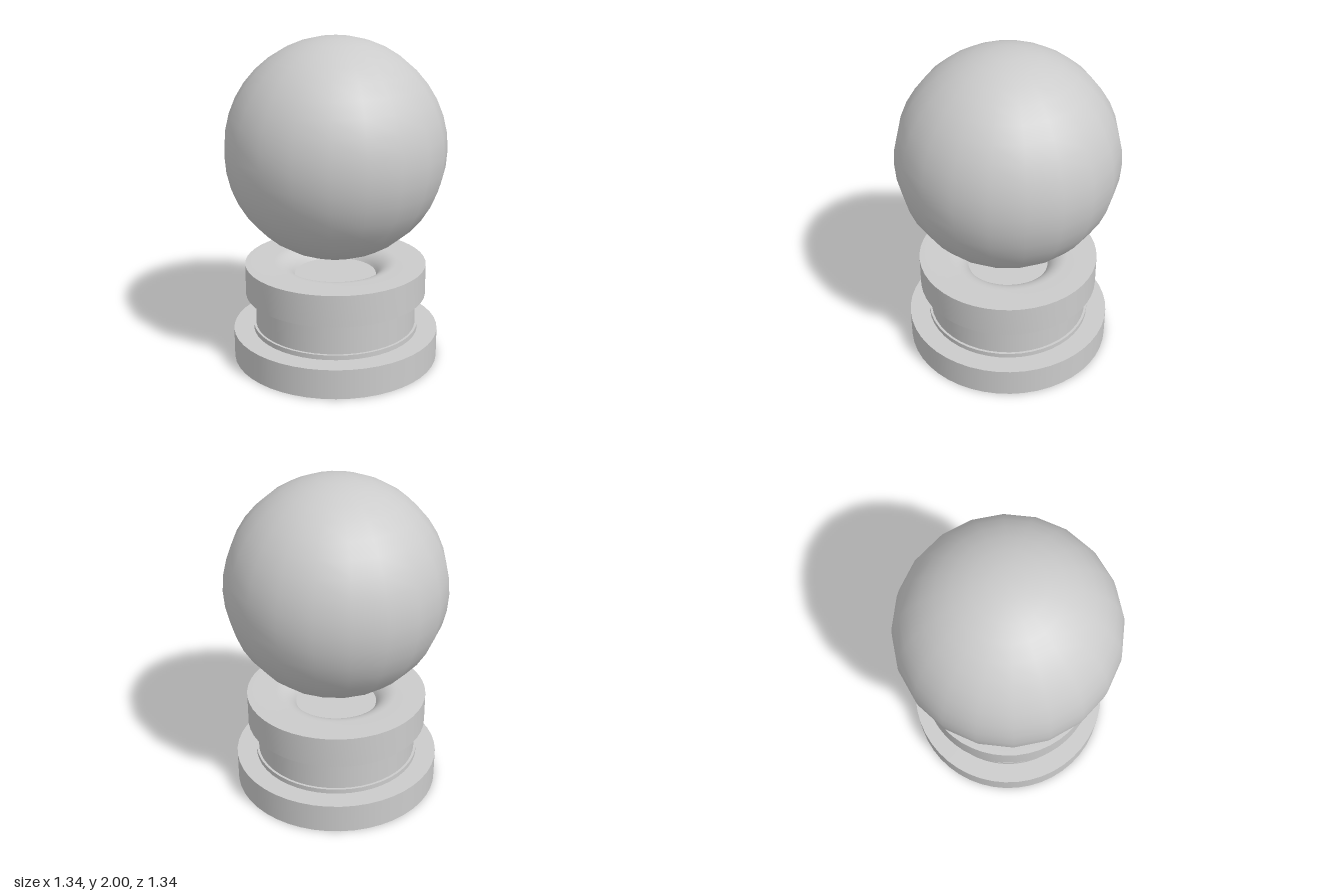
import * as THREE from 'three';
import { toCreasedNormals } from 'three/addons/utils/BufferGeometryUtils.js';

const SIDES = 48;

export function createModel() {
  const model = new THREE.Group();
  model.name = 'ballOnPedestal';
  const grey = new THREE.MeshStandardMaterial({ color: 0xcccccc });

  const add = (name, geometry, y = 0) => {
    const mesh = new THREE.Mesh(geometry, grey);
    mesh.name = name;
    mesh.position.y = y;
    model.add(mesh);
  };
  const disc = (name, radius, y0, y1, open = false) =>
    add(name, new THREE.CylinderGeometry(radius, radius, y1 - y0, SIDES, 1, open), (y0 + y1) / 2);

  // Pedestal: wide foot, narrow neck between two thin collars
  disc('foot', 0.64, 0, 0.185);
  disc('lowerCollar', 0.515, 0.185, 0.215);
  disc('neck', 0.5, 0.215, 0.39, true);
  disc('upperCollar', 0.515, 0.39, 0.415);

  // Cup: thick disc with a rounded lip rolling down to a flat-bottomed dish
  const profile = [[0, 0.415], [0.56, 0.415], [0.56, 0.61]].map(([x, y]) => new THREE.Vector2(x, y));
  for (let i = 0; i <= 8; i++) {
    const a = (i / 8) * THREE.MathUtils.degToRad(65);
    profile.push(new THREE.Vector2(0.38 - 0.14 * Math.sin(a), 0.61 - 0.14 * (1 - Math.cos(a))));
  }
  profile.push(new THREE.Vector2(0, profile.at(-1).y));
  add('cup', toCreasedNormals(new THREE.LatheGeometry(profile, SIDES), 0.5));

  // Ball hovering over the dish
  add('ball', new THREE.SphereGeometry(0.67, 20, 20), 1.33);

  return model;
}
